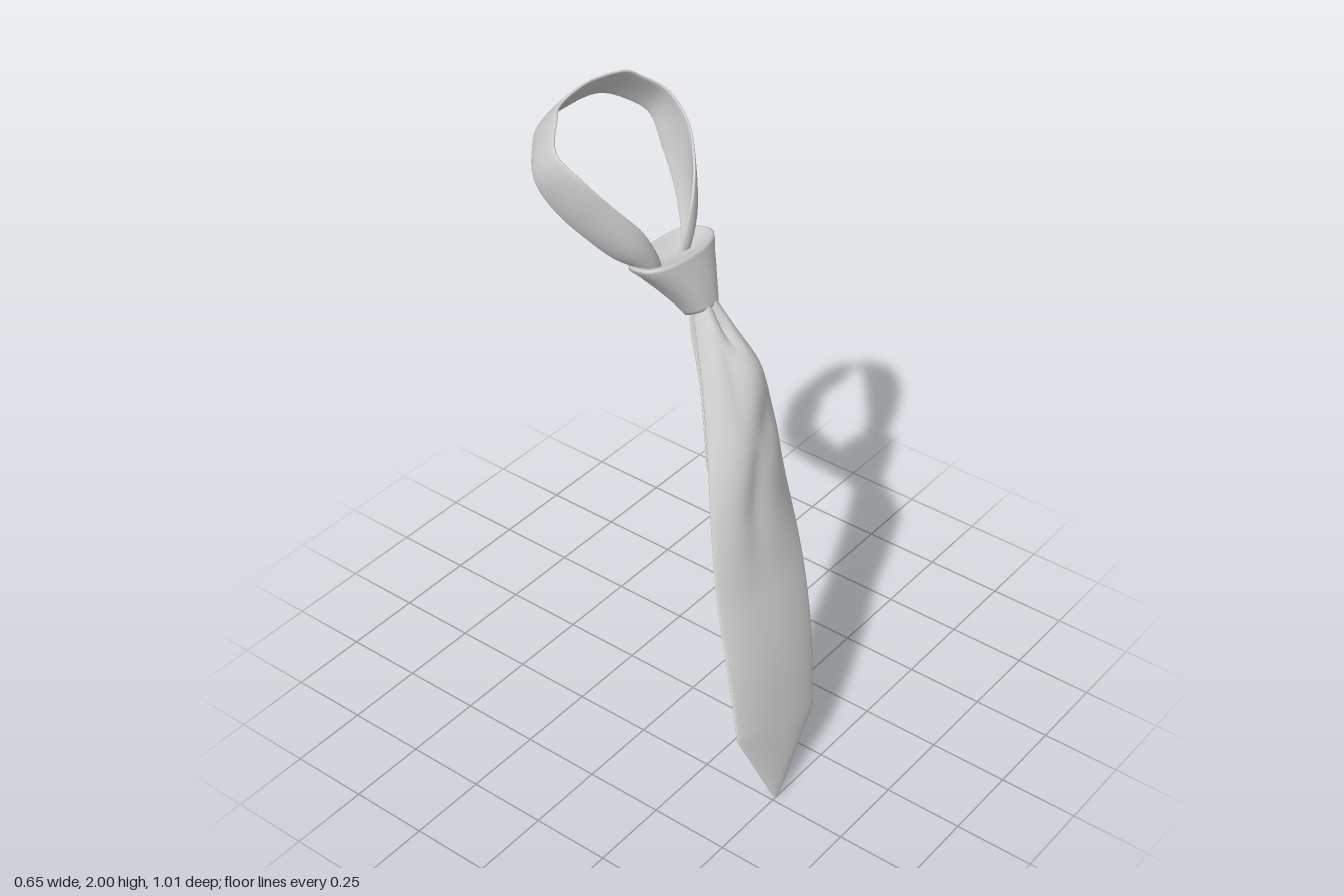
import * as THREE from 'three';

const V = (p) => new THREE.Vector3(...p);
const spline = (pts) => new THREE.CatmullRomCurve3(pts.map(V), false, 'centripetal');
// point by row, so that paired edges stay in step
const at = (curve, t) => curve.getPoint(Math.min(1, Math.max(0, t)));
const bump = (x, centre, width) => Math.exp(-(((x - centre) / width) ** 2));

// Skin a list of closed rings of equal length
function loft(rings) {
  const n = rings[0].length, index = [];
  for (let i = 0; i < rings.length - 1; i++) {
    for (let j = 0; j < n; j++) {
      const k = (j + 1) % n;
      const a = i * n + j, b = (i + 1) * n + j, c = (i + 1) * n + k, d = i * n + k;
      index.push(a, b, c, a, c, d);
    }
  }
  const g = new THREE.BufferGeometry().setFromPoints(rings.flat());
  g.setIndex(index);
  g.computeVertexNormals();
  return g;
}

// Thin cloth with rounded edges laid along surface(u, v); closes at both ends
function cloth(surface, rows, half) {
  const n = 56, e = 0.004, rings = [];
  for (let i = 0; i <= rows; i++) {
    const v = i / rows, ring = [];
    for (let j = 0; j < n; j++) {
      const a = (j / n) * Math.PI * 2;
      const u = (1 - Math.cos(a)) / 2;
      const p = surface(u, v);
      const du = surface(Math.min(1, u + e), v).sub(surface(Math.max(0, u - e), v));
      const dv = surface(u, Math.min(1, v + e)).sub(surface(u, Math.max(0, v - e)));
      const normal = dv.cross(du).normalize();
      const s = Math.sin(a), end = i === 0 || i === rows ? 0 : half;
      ring.push(p.addScaledVector(normal, end * Math.sign(s) * Math.sqrt(Math.abs(s))));
    }
    rings.push(ring);
  }
  return loft(rings);
}

export function createModel() {
  const group = new THREE.Group();
  const fabric = new THREE.MeshStandardMaterial({ color: 0xcccccc });
  fabric.name = 'light grey fabric';
  const add = (name, geometry) => {
    const mesh = new THREE.Mesh(geometry, fabric);
    mesh.name = name;
    group.add(mesh);
  };

  // Wide front blade: two edges, a bulging middle and a pointed tip
  const bladeLeft = spline([
    [0.07, 1.42, -0.06], [0.04, 1.33, -0.022], [-0.005, 1.2, 0.035], [-0.075, 1, 0.112],
    [-0.145, 0.8, 0.18], [-0.21, 0.6, 0.255], [-0.275, 0.4, 0.35], [-0.325, 0.245, 0.42]]);
  const bladeRight = spline([
    [0.13, 1.42, -0.06], [0.16, 1.32, -0.02], [0.2, 1.2, 0.04], [0.213, 1.02, 0.115],
    [0.198, 0.8, 0.2], [0.165, 0.58, 0.29], [0.11, 0.36, 0.37], [0.03, 0.15, 0.44]]);
  const bulge = spline([
    [0, 0.03, 0], [0, 0.075, 0], [0, 0.112, 0], [0, 0.095, 0],
    [0, 0.05, 0], [0, 0.022, 0], [0, 0.018, 0], [0, 0.012, 0]]);
  const tip = V([-0.24, 0, 0.503]), corner = 0.9;
  const bladeSurface = (u, v) => {
    const t = Math.min(1, v / corner);
    const p = at(bladeLeft, t).lerp(at(bladeRight, t), u);
    p.z += (1 - Math.abs(2 * u - 1) ** 2.6) * at(bulge, t).y;
    // folds fanning out of the knot, a pouch, and a long soft crease
    p.z -= 0.035 * bump(t, 0.12, 0.08) * bump(u, 0.45, 0.1);
    p.z -= 0.025 * bump(t, 0.27, 0.1) * bump(u, 0.27, 0.12);
    p.z -= 0.02 * bump(t, 0.4, 0.07) * bump(u, 0.62, 0.16);
    p.z -= 0.015 * bump(t, 0.5, 0.14) * bump(u, 0.42, 0.12);
    if (v > corner) p.lerp(tip, (v - corner) / (1 - corner));
    return p;
  };
  add('frontBlade', cloth(bladeSurface, 80, 0.008));

  // Short tail lying close against the back of the blade
  const tailLeft = spline([
    [0.07, 1.42, -0.07], [0.042, 1.32, -0.04], [0.004, 1.18, 0.022], [-0.04, 1.06, 0.072], [-0.073, 0.955, 0.11]]);
  const tailRight = spline([
    [0.13, 1.42, -0.07], [0.158, 1.32, -0.04], [0.196, 1.18, 0.025], [0.206, 1.06, 0.08], [0.204, 0.955, 0.115]]);
  add('backTail', cloth((u, v) => {
    const p = at(tailLeft, v).lerp(at(tailRight, v), u);
    p.z += 0.012 * Math.sin(u * Math.PI * 2) * Math.sin(v * Math.PI * 0.85);
    return p;
  }, 30, 0.008));

  // Neck band: upper and lower edges of one half, mirrored to the other
  const middle = 0.058;
  const mirrored = (half) => spline([
    ...half, ...half.slice(0, -1).reverse().map(([x, y, z]) => [2 * middle - x, y, z])]);
  const upper = mirrored([
    [0.025, 1.5, -0.13], [-0.01, 1.58, -0.128], [-0.06, 1.67, -0.14], [-0.12, 1.75, -0.18],
    [-0.17, 1.83, -0.24], [-0.183, 1.9, -0.33], [-0.12, 1.955, -0.385], [-0.06, 1.98, -0.412],
    [middle, 1.99, -0.418]]);
  const lower = mirrored([
    [-0.02, 1.48, -0.145], [-0.048, 1.53, -0.17], [-0.09, 1.565, -0.21], [-0.132, 1.62, -0.26],
    [-0.18, 1.71, -0.345], [-0.195, 1.795, -0.405], [-0.14, 1.85, -0.458], [-0.075, 1.88, -0.494],
    [middle, 1.89, -0.503]]);
  add('neckBand', cloth((u, v) => {
    const p = at(upper, v).lerp(at(lower, v), u);
    const outward = new THREE.Vector3(p.x - middle, 0, p.z + 0.3).normalize();
    const rear = bump(v, 0.5, 0.14);
    const ends = bump(v, 0.1, 0.1) + bump(v, 0.9, 0.1);
    p.addScaledVector(outward, 4 * u * (1 - u) * (0.008 * (1 - rear) + 0.018 * ends));
    // loose ripples along the upper edge at the back
    const ripple = (1 - u) * rear * Math.sin(v * 55);
    p.y += 0.008 * ripple;
    p.z += 0.007 * ripple;
    return p;
  }, 110, 0.007));

  // Knot: tilted oval rings [x, y, z, radiusX, radiusZ, tilt], rolled lip, sunken top
  const knot = [
    [0.1, 1.385, -0.045, 0, 0, 0.5], [0.1, 1.375, -0.045, 0.042, 0.034, 0.5],
    [0.1, 1.37, -0.045, 0.051, 0.042, 0.5], [0.1, 1.38, -0.05, 0.057, 0.046, 0.45],
    [0.097, 1.41, -0.064, 0.07, 0.053, 0.4], [0.09, 1.46, -0.09, 0.1, 0.066, 0.3],
    [0.082, 1.51, -0.118, 0.134, 0.076, 0.22], [0.078, 1.535, -0.132, 0.154, 0.083, 0.18],
    [0.078, 1.545, -0.134, 0.154, 0.082, 0.16], [0.078, 1.548, -0.135, 0.146, 0.075, 0.16],
    [0.078, 1.54, -0.135, 0.13, 0.064, 0.16], [0.078, 1.525, -0.135, 0.08, 0.04, 0.16],
    [0.078, 1.52, -0.135, 0, 0, 0.16]];
  const soften = (x, power) => Math.sign(x) * Math.abs(x) ** power;
  add('knot', loft(knot.map(([x, y, z, rx, rz, tilt]) =>
    Array.from({ length: 48 }, (_, j) => {
      const a = (j / 48) * Math.PI * 2, s = Math.sin(a);
      const power = s < 0 ? 0.7 : 0.9; // the back is squarer than the front
      const dz = rz * soften(s, power);
      return new THREE.Vector3(x + rx * soften(Math.cos(a), power), y + dz * tilt, z + dz);
    }))));

  return group;
}
